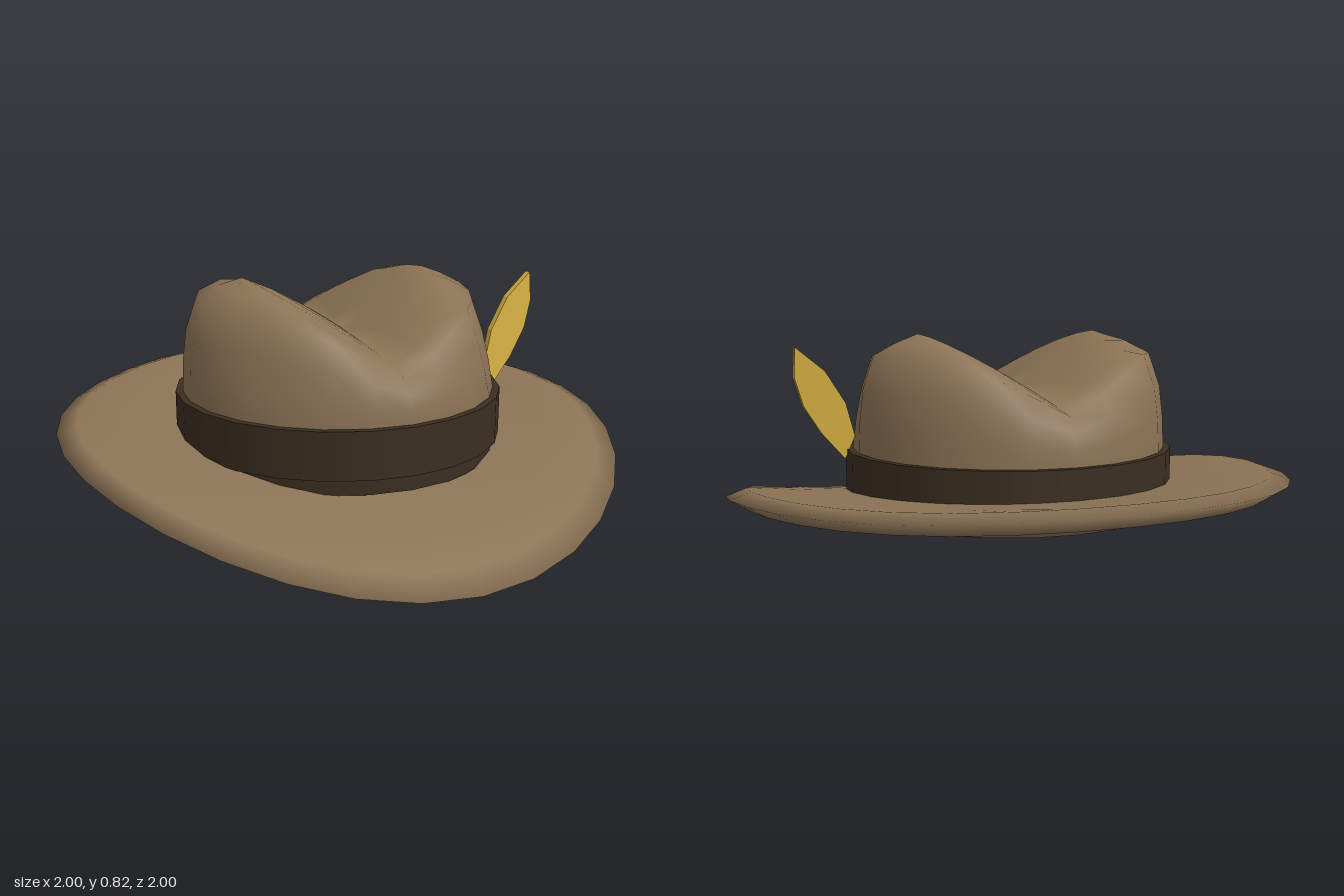
import * as THREE from 'three';
import { mergeVertices } from 'three/addons/utils/BufferGeometryUtils.js';

const felt = new THREE.MeshStandardMaterial({ color: 0x8b7355 });
felt.name = 'brown felt';
const ribbon = new THREE.MeshStandardMaterial({ color: 0x3a2e20 });
ribbon.name = 'dark ribbon';
const gold = new THREE.MeshStandardMaterial({ color: 0xd4af42 });
gold.name = 'gold feather';

function part(name, geometry, material) {
  const mesh = new THREE.Mesh(geometry, material);
  mesh.name = name;
  return mesh;
}

// Moves every vertex by a rule
function bend(geometry, rule) {
  const pos = geometry.attributes.position;
  const v = new THREE.Vector3();
  for (let i = 0; i < pos.count; i++) {
    v.fromBufferAttribute(pos, i);
    rule(v);
    pos.setXYZ(i, v.x, v.y, v.z);
  }
  geometry.computeVertexNormals();
  return geometry;
}

// Turned profile with a welded seam, then bent
function turned(profile, sides, rule) {
  const lathe = new THREE.LatheGeometry(profile.map(([r, y]) => new THREE.Vector2(r, y)), sides);
  lathe.deleteAttribute('uv');
  lathe.deleteAttribute('normal');
  return bend(mergeVertices(lathe, 1e-4), rule);
}

export function createModel() {
  const hat = new THREE.Group();
  hat.name = 'hat';

  // Brim: thick disc, dropped at the front and curled up at the sides
  const brimProfile = [
    [0, -0.04], [0.3, -0.04], [0.55, -0.038], [0.75, -0.036], [0.93, -0.034], [1, 0],
    [0.93, 0.034], [0.75, 0.036], [0.55, 0.038], [0.3, 0.04], [0, 0.04],
  ];
  hat.add(part('brim', turned(brimProfile, 32, (v) => {
    const { x, z } = v;
    v.y += 0.225 + 0.065 * x * x - 0.09 * z - 0.04 * z * z - 0.08 * z ** 3;
  }), felt));

  // Crown: dome with a lengthwise crease and a pinched, lower front
  const crownProfile = [
    [0, 0.2], [0.555, 0.2], [0.558, 0.42], [0.553, 0.53], [0.54, 0.64], [0.5, 0.755],
    [0.42, 0.795], [0.34, 0.825], [0.25, 0.845], [0.16, 0.86], [0.08, 0.87], [0, 0.87],
  ];
  hat.add(part('crown', turned(crownProfile, 24, (v) => {
    const rise = v.y - 0.42;
    if (rise <= 0) return;
    const front = Math.max(0, v.z / 0.55);
    const crease = Math.max(0, 1 - Math.abs(v.x) / 0.34);
    v.y = 0.42 + rise * (1 - 0.53 * crease) * (1 - 0.12 * front);
    v.x *= 1 - 0.15 * front * Math.min(1, rise / 0.25);
  }), felt));

  // Band around the crown, with a lower strip meeting the dropped front brim
  const band = part('band', new THREE.CylinderGeometry(0.583, 0.583, 0.165, 24), ribbon);
  band.position.y = 0.3375;
  const strip = part('bandLowerStrip',
    new THREE.CylinderGeometry(0.565, 0.565, 0.07, 12, 1, true, -Math.PI / 2, Math.PI), ribbon);
  strip.position.y = 0.235;
  hat.add(band, strip);

  // Feather: thin leaf leaning outward from the band on the left
  const leaf = new THREE.Shape([
    [0.575, 0.385], [0.66, 0.48], [0.725, 0.58], [0.757, 0.68], [0.755, 0.785],
    [0.65, 0.7], [0.575, 0.585], [0.54, 0.465],
  ].map(([x, y]) => new THREE.Vector2(x, y)));
  const feather = new THREE.ExtrudeGeometry(leaf, { depth: 0.026, bevelEnabled: false });
  hat.add(part('feather', bend(feather, (v) => {
    v.z += 0.115 - 0.1 * (v.y - 0.38) - 0.05 * (v.x - 0.55);
  }), gold));

  return hat;
}
